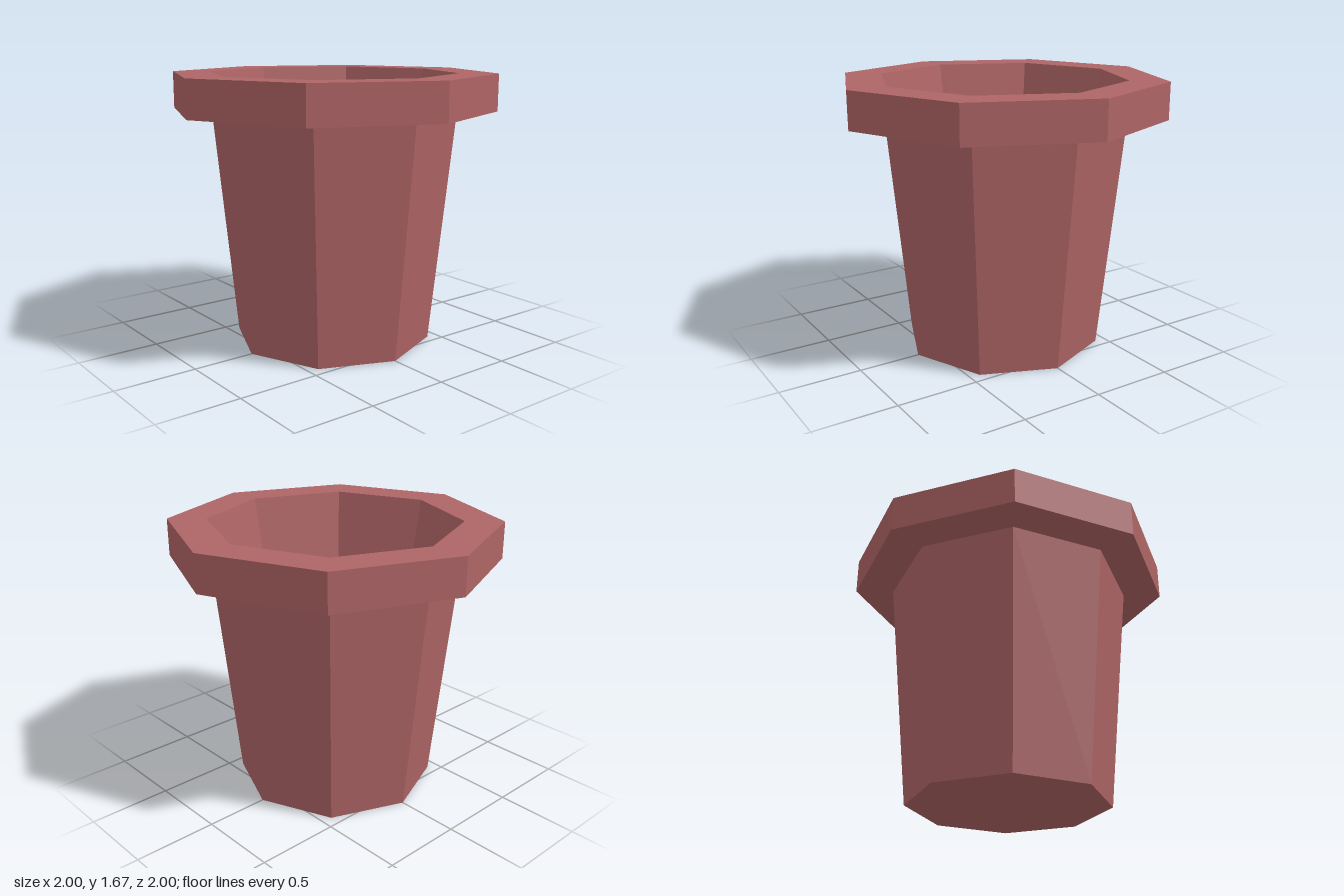
import * as THREE from 'three';

const SIDES = 8;

export function createModel() {
  const group = new THREE.Group();
  group.name = 'flowerPot';

  const terracotta = new THREE.MeshStandardMaterial({ color: 0xae6465 });
  terracotta.name = 'terracotta';
  terracotta.flatShading = true;

  // Revolve a [radius, height] profile into an eight-sided faceted part
  const addRing = (name, profile) => {
    const points = profile.map(([r, y]) => new THREE.Vector2(r, y));
    const geometry = new THREE.LatheGeometry(points, SIDES).toNonIndexed();
    geometry.computeVertexNormals();
    const mesh = new THREE.Mesh(geometry, terracotta);
    mesh.name = name;
    group.add(mesh);
  };

  // Tapered outer wall with closed base
  addRing('body', [[0, 0], [0.615, 0], [0.76, 1.443]]);

  // Overhanging collar: underside, outer band and flat top
  addRing('rim', [[0.76, 1.443], [1, 1.443], [1, 1.668], [0.763, 1.668]]);

  // Hollow inside: sloping wall down to the floor
  addRing('interior', [[0.763, 1.668], [0.473, 0.15], [0, 0.15]]);

  return group;
}
